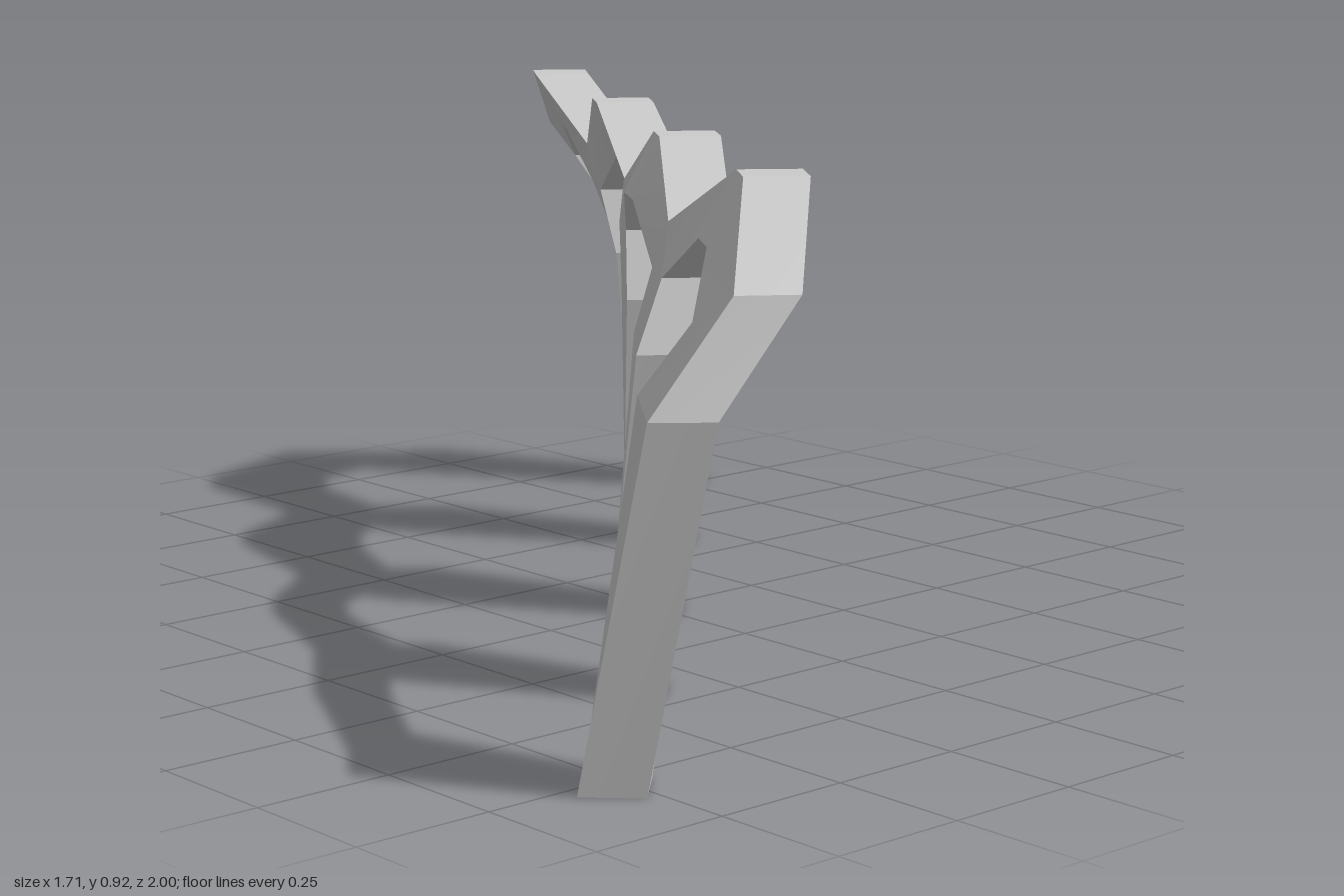
import * as THREE from 'three';
import { toCreasedNormals } from 'three/addons/utils/BufferGeometryUtils.js';

const material = new THREE.MeshStandardMaterial({ color: 0xcccccc });

// A point on the front skin paired with its partner on the back skin.
const pair = (x, y, z, dx = 0.085, dz = 0.065) => ({ f: [x, y, z], b: [x - dx, y, z - dz] });
const foot = (x, z) => pair(x, 0, z, 0.077, 0.076);
const knee = (x, z) => pair(x, 0.6, z, 0.082, 0.068);
const neck = (x, z) => pair(x, 0.72, z);
const crown = (x, z) => pair(x, 0.92, z);
const soffit = (x, z) => pair(x, 0.81, z);
const valley = (x, z) => pair(x, 0.805, z);

// Thick panel: convex cells skin the front and back, edge chains become side walls.
function panel(name, cells, chains) {
  const pos = [];
  const fan = (pts) => {
    for (let i = 1; i < pts.length - 1; i++) pos.push(...pts[0], ...pts[i], ...pts[i + 1]);
  };
  for (const cell of cells) {
    fan(cell.map((p) => p.f));
    fan(cell.map((p) => p.b).reverse());
  }
  for (const chain of chains) {
    for (let i = 0; i < chain.length - 1; i++) {
      const a = chain[i], c = chain[i + 1];
      fan([a.f, a.b, c.b, c.f]);
    }
  }
  const geo = new THREE.BufferGeometry();
  geo.setAttribute('position', new THREE.Float32BufferAttribute(pos, 3));
  const mesh = new THREE.Mesh(toCreasedNormals(geo, 0.4), material);
  mesh.name = name;
  return mesh;
}

// Tapered leg between two arches; l and r hold foot, knee and neck points.
const leg = (name, l, r, top) => panel(name, [
  [l.foot, r.foot, r.knee, l.knee],
  [l.knee, r.knee, r.neck, l.neck],
  [l.neck, r.neck, top],
], [[l.neck, l.knee, l.foot, r.foot, r.knee, r.neck]]);

// Faceted arch from a start joint to an end joint.
const arch = (name, t, u) => panel(name,
  [0, 1, 2].map((i) => [u[i], u[i + 1], t[i + 1], t[i]]),
  [u, [...t].reverse()]);

export function createModel() {
  const model = new THREE.Group();
  model.name = 'arcade';

  // Joints along the winding run
  const shoulder = pair(-0.59, 0.78, 1.0, 0.085, 0.06);
  const endL = { foot: foot(-0.777, 0.86), knee: knee(-0.735, 0.973) };
  const endR = { foot: foot(-0.7, 0.785), knee: knee(-0.605, 0.803), neck: neck(-0.56, 0.88) };
  const midL = { foot: foot(-0.39, 0.47), knee: knee(-0.38, 0.545), neck: neck(-0.31, 0.53) };
  const midR = { foot: foot(-0.313, 0.392), knee: knee(-0.24, 0.38), neck: neck(-0.245, 0.433) };
  const cenL = { foot: foot(0, 0.077), knee: knee(-0.03, 0.122), neck: neck(0.005, 0.08) };
  const cenR = { foot: foot(0.077, 0), knee: knee(0.112, -0.056), neck: neck(0.072, -0.015) };
  const midTop = valley(-0.257, 0.487);
  const cenTop = valley(0.042, 0.032);

  // One half of the run, then the same half turned about the vertical axis
  for (const side of ['right', 'left']) {
    const half = new THREE.Group();
    half.name = side + 'Half';
    half.add(
      panel('endLeg', [
        [endL.foot, endR.foot, endR.knee, endL.knee],
        [endL.knee, endR.knee, endR.neck, shoulder],
      ], [[shoulder, endL.knee, endL.foot, endR.foot, endR.knee, endR.neck]]),
      arch('outerArch',
        [shoulder, crown(-0.375, 0.795), crown(-0.32, 0.72), midTop],
        [endR.neck, soffit(-0.425, 0.765), soffit(-0.37, 0.685), midL.neck]),
      leg('middleLeg', midL, midR, midTop),
      arch('innerArch',
        [midTop, crown(-0.115, 0.305), crown(-0.07, 0.24), cenTop],
        [midR.neck, soffit(-0.15, 0.275), soffit(-0.1, 0.195), cenL.neck]),
    );
    if (side === 'left') half.rotation.y = Math.PI;
    model.add(half);
  }

  // Central leg under the middle joint
  model.add(leg('centreLeg', cenL, cenR, cenTop));
  return model;
}
